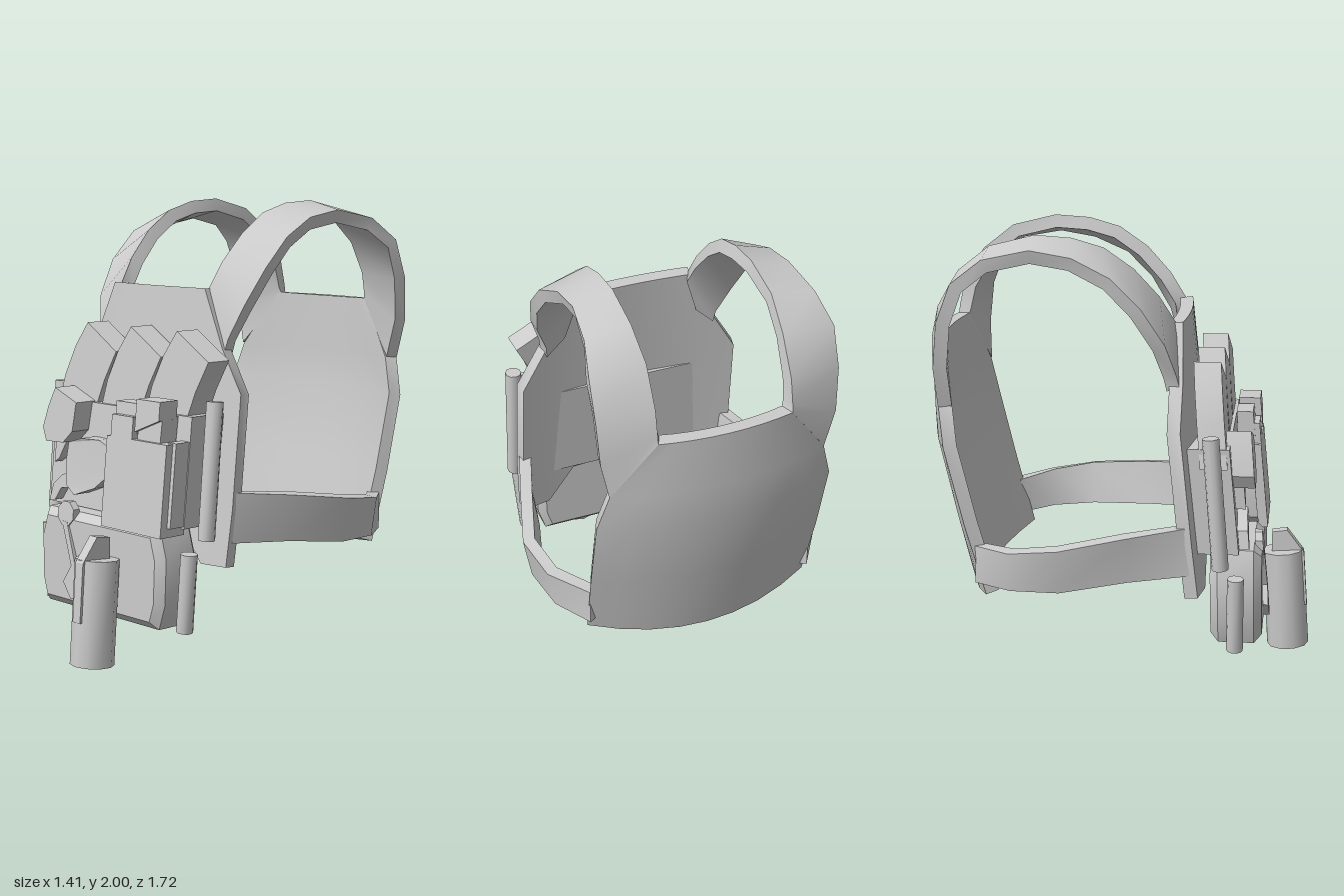
import * as THREE from 'three';
import { toCreasedNormals } from 'three/addons/utils/BufferGeometryUtils.js';

const material = new THREE.MeshStandardMaterial({ color: 0xcccccc });
const V = (x, y, z) => new THREE.Vector3(x, y, z);

// Thick sheet: rows of outer-surface points, thickened inwards by t.
function shell(name, rows, t) {
  const n = rows.length, m = rows[0].length;
  const at = (i, j) => rows[Math.max(0, Math.min(n - 1, i))][Math.max(0, Math.min(m - 1, j))];
  const inner = rows.map((r, i) => r.map((p, j) => {
    const du = at(i, j + 1).clone().sub(at(i, j - 1));
    const dv = at(i + 1, j).clone().sub(at(i - 1, j));
    return p.clone().addScaledVector(du.cross(dv).normalize(), -t);
  }));
  const pos = [];
  const quad = (a, b, c, d) => [a, b, c, a, c, d].forEach(p => pos.push(p.x, p.y, p.z));
  for (let i = 0; i < n - 1; i++) for (let j = 0; j < m - 1; j++) {
    quad(rows[i][j], rows[i][j + 1], rows[i + 1][j + 1], rows[i + 1][j]);
    quad(inner[i][j], inner[i + 1][j], inner[i + 1][j + 1], inner[i][j + 1]);
  }
  // rim, walked once around the border
  const rim = [];
  for (let j = 0; j < m - 1; j++) rim.push([0, j]);
  for (let i = 0; i < n - 1; i++) rim.push([i, m - 1]);
  for (let j = m - 1; j > 0; j--) rim.push([n - 1, j]);
  for (let i = n - 1; i > 0; i--) rim.push([i, 0]);
  rim.forEach(([i, j], k) => {
    const [a, b] = rim[(k + 1) % rim.length];
    quad(inner[i][j], inner[a][b], rows[a][b], rows[i][j]);
  });
  const g = new THREE.BufferGeometry();
  g.setAttribute('position', new THREE.Float32BufferAttribute(pos, 3));
  return mesh(name, toCreasedNormals(g, 0.6));
}

function mesh(name, geometry) {
  const o = new THREE.Mesh(geometry, material);
  o.name = name;
  return o;
}

// Front outline extruded from z0 to z1 (at y = 0.85), leaning back with the chest panel.
// thin(x) optionally scales the thickness along x.
function slab(name, pts, z0, z1, { bevel = 0, lean = 0.1, thin = () => 1 } = {}) {
  const shape = new THREE.Shape(pts.map(p => new THREE.Vector2(p[0], p[1])));
  const g = new THREE.ExtrudeGeometry(shape, {
    depth: z1 - z0 - 2 * bevel, bevelEnabled: bevel > 0, bevelSize: bevel,
    bevelThickness: bevel, bevelOffset: -bevel, bevelSegments: 1,
  });
  g.translate(0, 0, z0 + bevel);
  const p = g.attributes.position, mid = (z0 + z1) / 2;
  for (let i = 0; i < p.count; i++) {
    p.setZ(i, mid + (p.getZ(i) - mid) * thin(p.getX(i)) - lean * (p.getY(i) - 0.85));
  }
  return mesh(name, toCreasedNormals(g, 0.4));
}
const rect = (x0, x1, y0, y1) => [[x0, y0], [x1, y0], [x1, y1], [x0, y1]];

// Straight rod between two points.
function rod(name, a, b, r) {
  const d = b.clone().sub(a);
  const o = mesh(name, toCreasedNormals(new THREE.CylinderGeometry(r, r, d.length(), 10), 0.8));
  o.position.copy(a).add(b).multiplyScalar(0.5);
  o.quaternion.setFromUnitVectors(V(0, 1, 0), d.normalize());
  return o;
}

const across = [-1, -0.75, -0.5, -0.25, 0, 0.25, 0.5, 0.75, 1];

export function createModel() {
  const vest = new THREE.Group();
  vest.name = 'tacticalVest';

  // Curved chest panel, hem arched over the lower pouch: [y, half width]
  const chest = [[0.45, 0.53], [0.7, 0.54], [1.19, 0.535], [1.38, 0.42], [1.63, 0.3]];
  vest.add(shell('chestPanel', chest.map(([y, w], i) => across.map(u => {
    const yy = y + (i === 0 && Math.abs(u) <= 0.5 ? 0.17 : 0);
    return V(u * w, yy, 0.43 - 0.11 * (yy - 0.45) - 0.2 * (u * w) ** 2);
  })), 0.06));

  // Curved back panel: [y, half width, centre z, curvature]
  const back = [[0.38, 0.53, -0.69, 0.45], [0.75, 0.54, -0.775, 0.42], [1.1, 0.54, -0.848, 0.38],
    [1.27, 0.49, -0.855, 0.38], [1.53, 0.3, -0.86, 0.38]];
  vest.add(shell('backPanel', back.map(([y, w, z, k], i) => across.map(u =>
    V(-u * w, y + (i === 0 ? 0.05 * u * u : 0), z + k * (u * w) ** 2))), 0.06));

  // Shoulder strap edges: inner x, y, z then outer x, y, z
  const strap = [
    [0.33, 1.44, 0.28, 0.42, 1.36, 0.28],
    [0.29, 1.62, 0.255, 0.43, 1.42, 0.265], [0.30, 1.74, 0.18, 0.48, 1.56, 0.22],
    [0.31, 1.86, 0.07, 0.51, 1.72, 0.12], [0.31, 1.95, -0.06, 0.51, 1.85, -0.01],
    [0.31, 1.99, -0.2, 0.485, 1.93, -0.18], [0.31, 2.0, -0.36, 0.485, 1.96, -0.36],
    [0.31, 1.95, -0.56, 0.51, 1.92, -0.56], [0.30, 1.84, -0.70, 0.54, 1.82, -0.69],
    [0.30, 1.68, -0.795, 0.54, 1.65, -0.755], [0.30, 1.57, -0.82, 0.53, 1.45, -0.775],
    [0.30, 1.53, -0.826, 0.49, 1.27, -0.765],
  ];
  // Waist band path: x, z, bottom y, top y, inward lean of the lower edge
  const band = [
    [0.53, 0.335, 0.55, 0.77, 0], [0.615, 0.07, 0.53, 0.74, 0.03], [0.703, -0.22, 0.5, 0.70, 0.035],
    [0.665, -0.44, 0.49, 0.67, 0.03], [0.53, -0.61, 0.485, 0.655, 0],
  ];
  for (const s of [1, -1]) {
    const side = s > 0 ? 'left' : 'right';
    const face = row => (s > 0 ? row : row.reverse());
    vest.add(shell(side + 'ShoulderStrap', strap.map(p =>
      face([V(s * p[0], p[1], p[2]), V(s * p[3], p[4], p[5])])), 0.06));
    vest.add(shell(side + 'WaistBand', [0, 1].map(k => face(band.map(([x, z, y0, y1, lean]) =>
      V(s * (x - (k ? 0 : lean)), k ? y1 : y0, z)))), 0.055));
    // Light sticks along the sides
    vest.add(rod(side + 'UpperStick', V(s * 0.512, 0.58, 0.47), V(s * 0.512, 1.17, 0.42), 0.037));
    vest.add(rod(side + 'LowerStick', V(s * 0.445, 0.18, 0.535), V(s * 0.475, 0.525, 0.535), 0.037));
  }

  // Pouch row with three curved magazines
  vest.add(slab('magazinePouch', rect(-0.46, 0.455, 0.63, 1.105), 0.3, 0.525));
  for (let i = 0; i < 3; i++) {
    const m = slab('magazine', [[-0.295, 1.455], [-0.37, 1.345], [-0.43, 1.21], [-0.475, 1.02],
      [-0.21, 1.02], [-0.19, 1.1], [-0.15, 1.21], [-0.085, 1.338]], 0.39, 0.51);
    m.position.x = 0.3 * i;
    vest.add(m);
  }

  // Lower pouch with chamfered front
  vest.add(slab('lowerPouch', [[-0.38, 0.19], [0.375, 0.19], [0.41, 0.3], [0.415, 0.5], [0.375, 0.625],
    [-0.38, 0.625], [-0.42, 0.5], [-0.415, 0.3]], 0.41, 0.64, { bevel: 0.035, lean: 0.02 }));

  // Box pouch with its contents
  vest.add(slab('boxPouch', rect(0.04, 0.43, 0.6, 0.995), 0.5, 0.635));
  vest.add(slab('boxPouchSide', rect(0.4, 0.45, 0.64, 1.0), 0.5, 0.6));
  vest.add(slab('boxInsert', rect(0.065, 0.205, 0.95, 1.09), 0.53, 0.635));
  vest.add(slab('boxInsertCap', rect(0.06, 0.21, 1.015, 1.145), 0.535, 0.61));
  vest.add(slab('radioBody', [[0.225, 0.95], [0.37, 0.95], [0.375, 1.1], [0.225, 1.05]], 0.53, 0.62));
  vest.add(slab('radioTop', [[0.225, 1.03], [0.375, 1.09], [0.375, 1.17], [0.225, 1.17]], 0.54, 0.64));

  // Small tools and pouches on the right
  vest.add(slab('toolHead', [[-0.36, 1.165], [-0.4, 1.08], [-0.43, 0.98], [-0.4, 0.92], [-0.28, 0.925],
    [-0.22, 0.98], [-0.205, 1.11]].reverse(), 0.51, 0.62));
  vest.add(slab('toolHandle', [[-0.39, 0.93], [-0.39, 0.82], [-0.36, 0.84], [-0.31, 0.93]], 0.51, 0.57));
  vest.add(slab('wedgePouch', [[-0.25, 0.93], [-0.26, 0.85], [-0.25, 0.74], [-0.19, 0.7], [-0.08, 0.74],
    [0.0, 0.81], [0.02, 0.86], [0.0, 0.92], [-0.07, 0.955], [-0.17, 0.955]], 0.51, 0.61,
  { thin: x => Math.min(1, (0.05 - x) / 0.24) }));
  vest.add(slab('curvedLoop', [[-0.41, 0.64], [-0.39, 0.72], [-0.33, 0.77], [-0.25, 0.79], [-0.25, 0.72],
    [-0.33, 0.71], [-0.37, 0.65]].reverse(), 0.51, 0.57));

  // Key-shaped pull hanging on the lower pouch
  const disc = Array.from({ length: 8 }, (_, i) => {
    const a = (i + 0.5) * Math.PI / 4;
    return [-0.22 + 0.058 * Math.cos(a), 0.615 + 0.058 * Math.sin(a)];
  });
  vest.add(slab('pullDisc', disc, 0.59, 0.625));
  vest.add(slab('pullStem', [[-0.24, 0.58], [-0.205, 0.58], [-0.13, 0.39], [-0.12, 0.25], [-0.15, 0.24],
    [-0.21, 0.31], [-0.16, 0.39]].reverse(), 0.6, 0.632, { lean: 0.08 }));

  // Canister with a lever
  vest.add(rod('canister', V(0.1, 0.01, 0.765), V(0.1, 0.475, 0.73), 0.097));
  const lever = new THREE.Shape([[-0.85, 0.21], [-0.83, 0.47], [-0.75, 0.575], [-0.68, 0.565],
    [-0.68, 0.46], [-0.8, 0.46], [-0.82, 0.21]].map(p => new THREE.Vector2(...p)).reverse());
  const g = new THREE.ExtrudeGeometry(lever, { depth: 0.05, bevelEnabled: false });
  g.rotateY(Math.PI / 2).translate(0.075, 0, 0);
  vest.add(mesh('canisterLever', g));

  return vest;
}
